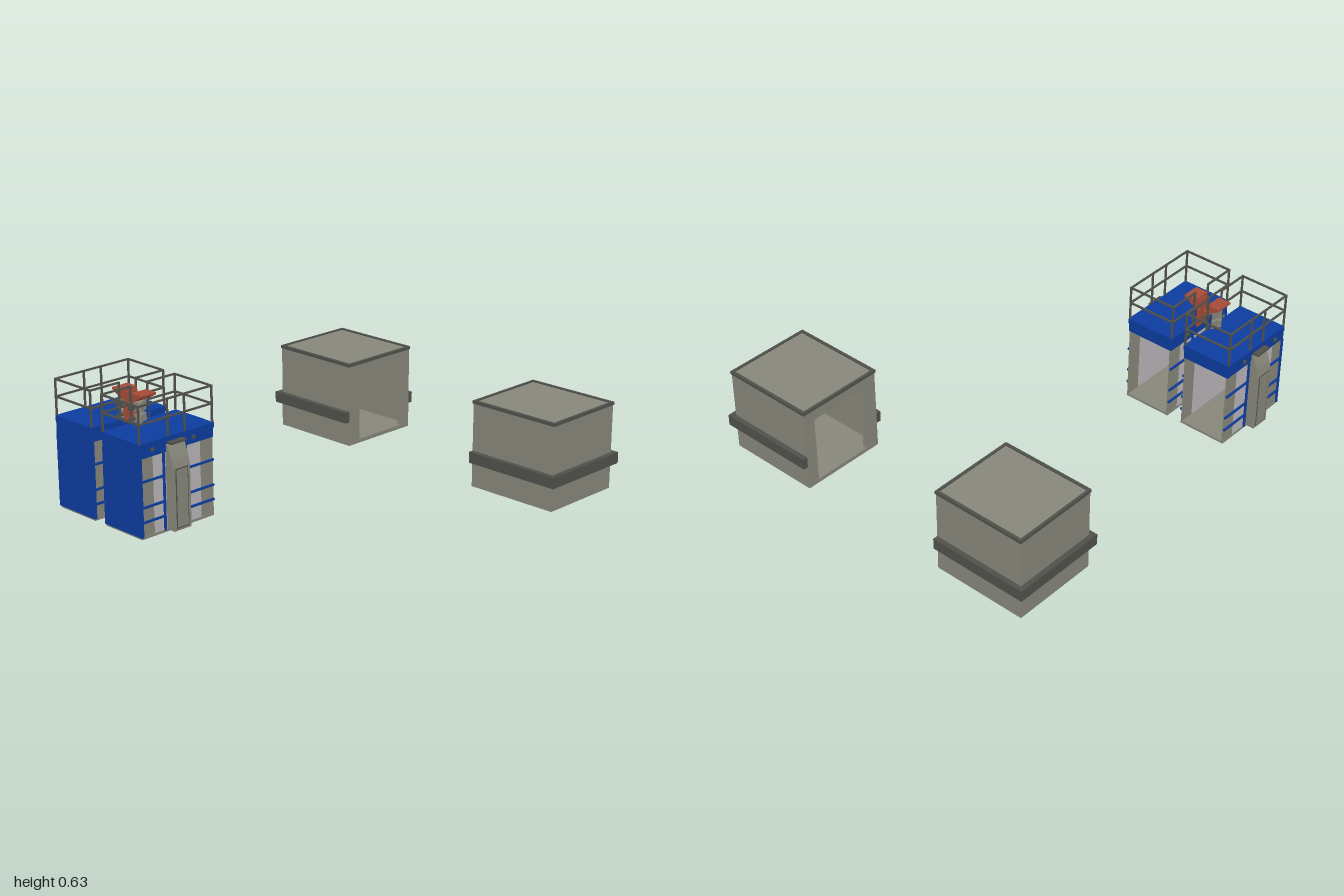
import * as THREE from 'three';

const mat = (name, color) => {
  const m = new THREE.MeshStandardMaterial({ color });
  m.name = name;
  return m;
};

export function createModel() {
  const model = new THREE.Group();
  model.name = 'model';
  const stone = mat('warm grey', 0x87867a);
  const dark = mat('dark grey', 0x50504b);
  const blue = mat('blue', 0x0c3c9e);
  const light = mat('light grey', 0xb6b4b6);
  const red = mat('rust red', 0xa54b38);

  // Box from its extents; s mirrors u across the group's centre
  const box = (parent, s, name, m, u0, u1, y0, y1, z0, z1) => {
    const mesh = new THREE.Mesh(new THREE.BoxGeometry(u1 - u0, y1 - y0, z1 - z0), m);
    mesh.position.set(s * (u0 + u1) / 2, (y0 + y1) / 2, (z0 + z1) / 2);
    mesh.name = name;
    parent.add(mesh);
  };

  // Side profile in (u, y) extruded over a z range, turned round for the mirrored copy
  const profile = (parent, s, name, m, pts, z0, z1) => {
    const g = new THREE.ExtrudeGeometry(new THREE.Shape(pts.map(p => new THREE.Vector2(...p))),
      { depth: z1 - z0, bevelEnabled: false });
    g.translate(0, 0, (z0 - z1) / 2);
    const mesh = new THREE.Mesh(g, m);
    mesh.rotation.y = s < 0 ? Math.PI : 0;
    mesh.position.z = (z0 + z1) / 2;
    mesh.name = name;
    parent.add(mesh);
  };

  // Hollow rear chambers, open on the side facing the middle
  for (const s of [-1, 1]) {
    const g = new THREE.Group();
    g.name = s < 0 ? 'rightChamber' : 'leftChamber';
    model.add(g);
    const b = (...a) => box(g, s, ...a);
    b('floor', stone, 0.405, 0.885, 0.01, 0.03, -0.975, -0.535);
    b('roof', stone, 0.405, 0.885, 0.42, 0.434, -0.975, -0.535);
    b('outerWall', stone, 0.865, 0.885, 0.03, 0.42, -0.975, -0.535);
    b('frontWall', stone, 0.405, 0.865, 0.03, 0.42, -0.555, -0.535);
    b('backWall', stone, 0.405, 0.865, 0.03, 0.42, -0.975, -0.955);
    // frame round the opening
    b('openingHead', stone, 0.405, 0.425, 0.37, 0.42, -0.955, -0.555);
    for (const [z0, z1] of [[-0.955, -0.915], [-0.61, -0.555]])
      b('openingJamb', stone, 0.405, 0.425, 0.03, 0.37, z0, z1);
    // dark rim of the roof
    for (const [z0, z1] of [[-0.98, -0.965], [-0.545, -0.53]])
      b('roofRim', dark, 0.402, 0.888, 0.425, 0.44, z0, z1);
    for (const [u0, u1] of [[0.402, 0.415], [0.875, 0.888]])
      b('roofRim', dark, u0, u1, 0.425, 0.44, -0.965, -0.545);
    // band round three sides
    b('frontBand', dark, 0.405, 0.91, 0.135, 0.19, -0.535, -0.51);
    b('backBand', dark, 0.405, 0.91, 0.135, 0.19, -1, -0.975);
    b('sideBand', dark, 0.885, 0.91, 0.135, 0.19, -0.975, -0.535);
  }

  // Pair of blue cabins, mirrored about the gap between them
  const pair = new THREE.Group();
  pair.name = 'cabins';
  pair.position.x = -0.505;
  model.add(pair);
  for (const s of [-1, 1]) {
    const g = new THREE.Group();
    g.name = s < 0 ? 'rightCabin' : 'leftCabin';
    pair.add(g);
    const b = (...a) => box(g, s, ...a);
    b('floor', stone, 0.04, 0.29, 0, 0.012, 0.555, 0.985);
    b('frontPanel', blue, 0.037, 0.293, 0.008, 0.4, 0.98, 0.988);
    b('innerFrontPanel', light, 0.048, 0.282, 0.012, 0.38, 0.974, 0.98);
    b('roof', blue, 0.035, 0.295, 0.425, 0.45, 0.55, 0.99);
    b('roofFascia', blue, 0.038, 0.292, 0.38, 0.425, 0.553, 0.989);

    // side walls, their corner strips and blue framing
    for (const [u0, u1, out] of [[0.042, 0.048, -1], [0.282, 0.288, 1]]) {
      b('sideWall', light, u0, u1, 0.012, 0.38, 0.63, 0.91);
      for (const [z0, z1] of [[0.555, 0.63], [0.91, 0.98]])
        b('cornerStrip', stone, u0, u1, 0.012, 0.38, z0, z1);
      const f = out < 0 ? [0.034, 0.042] : [0.288, 0.296];
      for (const z of [0.72, 0.85, 0.983])
        b('framePost', blue, ...f, 0.01, 0.38, z - 0.005, z + 0.005);
      for (const y of [0.08, 0.15, 0.272])
        for (const [z0, z1] of [[0.555, 0.715], [0.855, 0.978]])
          b('frameRung', blue, ...f, y - 0.005, y + 0.005, z0, z1);
      for (const z of [0.675, 0.915])
        b('bracket', dark, out < 0 ? 0.028 : 0.292, out < 0 ? 0.038 : 0.302, 0.405, 0.42, z - 0.007, z + 0.007);
    }

    // pod with sloping top on the outer side
    profile(g, s, 'sidePod', stone,
      [[0.285, 0.01], [0.337, 0.01], [0.337, 0.31], [0.328, 0.35], [0.312, 0.39], [0.302, 0.415], [0.285, 0.415]],
      0.735, 0.835);
    b('podPanelEdge', dark, 0.337, 0.338, 0.02, 0.305, 0.748, 0.822);
    b('podPanel', stone, 0.338, 0.341, 0.026, 0.299, 0.754, 0.816);
    b('podCap', dark, 0.29, 0.325, 0.418, 0.428, 0.74, 0.83);

    // guard rail round the roof, with a gap towards the other cabin
    const t = 0.004, u0 = 0.04, u1 = 0.29, z0 = 0.556, z1 = 0.985;
    for (const u of [u0, u1])
      for (const z of [z0, 0.72, 0.82, z1])
        b('railPost', dark, u - t, u + t, 0.45, 0.628, z - t, z + t);
    for (const y of [0.54, 0.624]) {
      for (const z of [z0, z1]) b('rail', dark, u0, u1, y - t, y + t, z - t, z + t);
      b('rail', dark, u1 - t, u1 + t, y - t, y + t, z0, z1);
      for (const [a, c] of [[z0, 0.72], [0.82, z1]])
        b('rail', dark, u0 - t, u0 + t, y - t, y + t, a, c);
    }

    // red control post with sloping canopy and grey fittings
    b('controlPost', red, 0.026, 0.036, 0.43, 0.575, 0.735, 0.8);
    profile(g, s, 'canopy', red, [[0.034, 0.545], [0.05, 0.55], [0.1, 0.578], [0.1, 0.588], [0.034, 0.588]], 0.72, 0.81);
    b('postArm', red, 0.012, 0.026, 0.535, 0.547, 0.72, 0.735);
    b('controlBracket', blue, 0.036, 0.05, 0.46, 0.53, 0.725, 0.74);
    for (const [y0, y1] of [[0.45, 0.488], [0.5, 0.545]]) {
      const c = new THREE.Mesh(new THREE.CylinderGeometry(0.014, 0.014, y1 - y0, 10), stone);
      c.position.set(s * 0.06, (y0 + y1) / 2, 0.785);
      c.name = 'controlDrum';
      g.add(c);
      b('controlBox', stone, 0.036, 0.056, y0, y1, 0.742, 0.80);
      b('controlArm', dark, 0.038, 0.048, y0 + 0.012, y1 - 0.012, 0.715, 0.835);
    }
  }
  return model;
}
